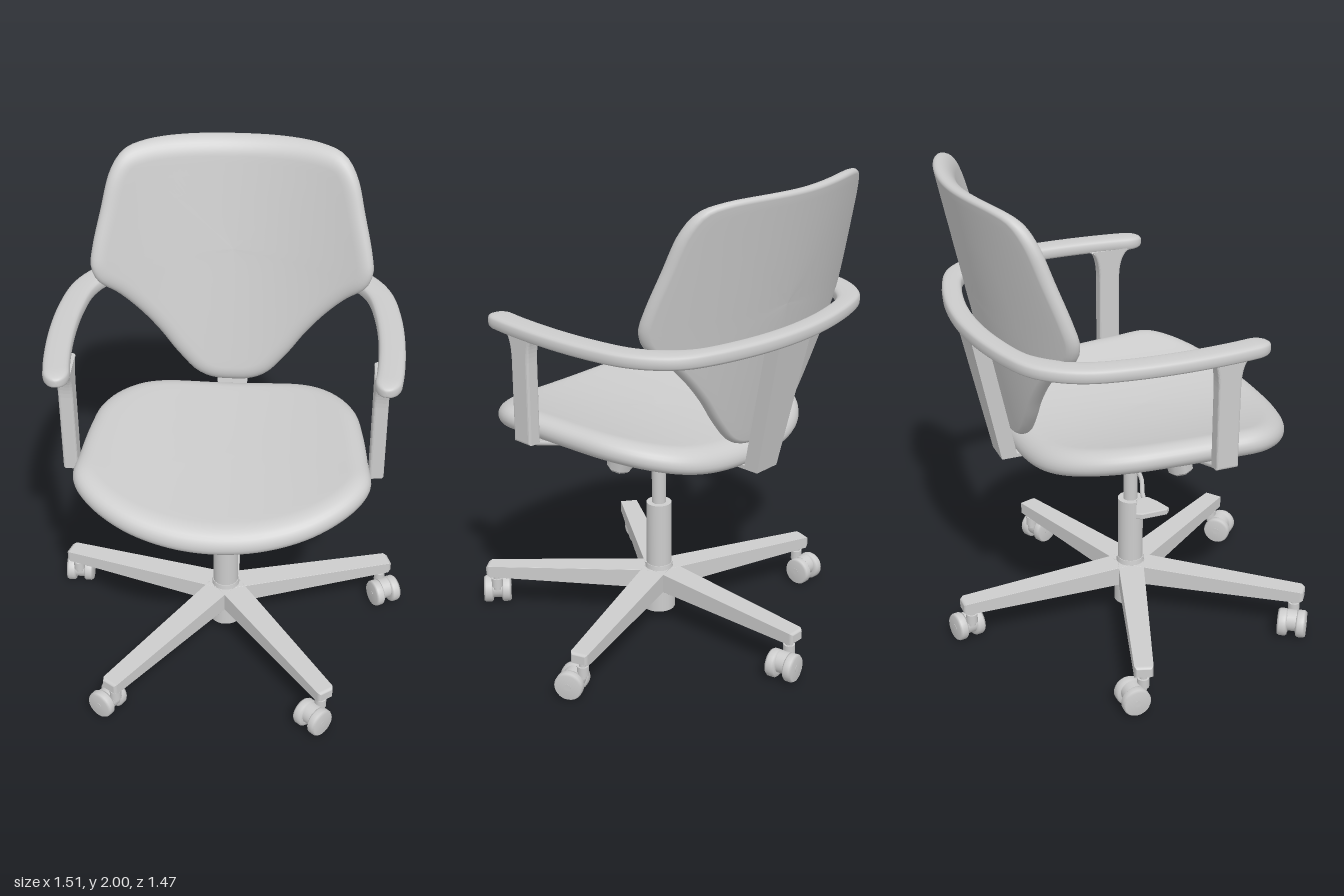
import * as THREE from 'three';
import { RoundedBoxGeometry } from 'three/addons/geometries/RoundedBoxGeometry.js';

const V2 = (x, y) => new THREE.Vector2(x, y);
const V3 = (x, y, z) => new THREE.Vector3(x, y, z);

export function createModel() {
  const grey = new THREE.MeshStandardMaterial({ color: 0xcccccc });
  grey.name = 'light grey';
  const chair = new THREE.Group();
  chair.name = 'officeChair';

  const add = (name, geo, x = 0, y = 0, z = 0, parent = chair) => {
    const m = new THREE.Mesh(geo, grey);
    m.name = name;
    m.position.set(x, y, z);
    parent.add(m);
    return m;
  };

  // Closed skin over a list of equal-length rings of points
  const skin = (rings) => {
    const n = rings[0].length, idx = [];
    for (let j = 0; j + 1 < rings.length; j++) {
      for (let i = 0; i < n; i++) {
        const k = (i + 1) % n, a = j * n + i, b = j * n + k, c = a + n, d = b + n;
        idx.push(a, b, d, a, d, c);
      }
    }
    const g = new THREE.BufferGeometry().setFromPoints(rings.flat());
    g.setIndex(idx);
    g.computeVertexNormals();
    return g;
  };

  // Cushion: half outline (mirrored), edge rounding, then bent by place(u, v, w)
  const cushion = (half, thick, rTop, rBottom, centre, place) => {
    const mirrored = half.slice(1, -1).reverse().map(([x, y]) => [-x, y]);
    const curve = new THREE.CatmullRomCurve3([...half, ...mirrored].map(([x, y]) => V3(x, y, 0)), true);
    const n = 120;
    const pts = curve.getSpacedPoints(n).slice(0, n);
    const inset = (d) => pts.map((p, i) => {
      const t = pts[(i + 1) % n].clone().sub(pts[(i + n - 1) % n]).normalize();
      return V2(p.x - t.y * d, p.y + t.x * d);
    });
    const rings = [];
    const put = (ring, s, w) => rings.push(ring.map((p) =>
      place(p.x * s, centre + (p.y - centre) * s, w)));
    const fill = [0, 0.2, 0.4, 0.6, 0.8, 0.93];
    const low = thick * 0.3;
    fill.forEach((s) => put(inset(rBottom), s, 0));
    for (let k = 0; k <= 4; k++) {
      const a = k / 4 * Math.PI / 2;
      put(inset(rBottom * (1 - Math.sin(a))), 1, low * (1 - Math.cos(a)));
    }
    for (let k = 1; k <= 8; k++) {
      const a = k / 8 * Math.PI / 2;
      put(inset(rTop * (1 - Math.cos(a))), 1, low + (thick - low) * Math.sin(a));
    }
    fill.reverse().forEach((s) => put(inset(rTop), s, thick));
    return skin(rings);
  };

  // Side profile in (z, y), extruded across x
  const sideExtrude = (shape, width, bevel = 0) => {
    const g = new THREE.ExtrudeGeometry(shape, {
      depth: width - 2 * bevel, bevelEnabled: bevel > 0, bevelSize: bevel,
      bevelThickness: bevel, bevelOffset: -bevel, bevelSegments: 3, curveSegments: 10,
    });
    g.translate(0, 0, -width / 2 + bevel);
    return g.rotateY(-Math.PI / 2);
  };
  const poly = (pts) => new THREE.Shape(pts.map(([a, b]) => V2(a, b)));
  const lathe = (pts, seg = 32) => new THREE.LatheGeometry(pts.map(([r, y]) => V2(r, y)), seg);

  // Seat, dished across its width
  add('seat', cushion(
    [[0, -0.637], [0.2, -0.617], [0.38, -0.555], [0.52, -0.45], [0.578, -0.35], [0.572, -0.2],
      [0.555, 0], [0.53, 0.15], [0.47, 0.28], [0.38, 0.38], [0.26, 0.437], [0, 0.46]],
    0.1, 0.09, 0.025, -0.1,
    (u, v, w) => V3(u, 0.868 + 0.3 * u * u + w, -v)));

  // Backrest, leaning back and wrapping forward at the sides
  add('backrest', cushion(
    [[0, 0.965], [0.08, 0.972], [0.15, 1.005], [0.235, 1.1], [0.305, 1.2], [0.385, 1.3], [0.47, 1.39],
      [0.55, 1.46], [0.577, 1.53], [0.57, 1.6], [0.535, 1.75], [0.495, 1.9], [0.445, 1.968],
      [0.36, 1.994], [0, 2]],
    0.075, 0.07, 0.018, 1.55,
    (u, v, w) => V3(u, v, -0.695 + 0.212 * (2 - v) + 0.53 * u * u + w)));

  // Arm hoop running round behind the backrest
  const side = [[0.615, 0.345], [0.635, 0.2], [0.645, 0], [0.635, -0.2], [0.605, -0.36], [0.55, -0.46],
    [0.46, -0.54], [0.25, -0.605]];
  const hoop = new THREE.CatmullRomCurve3([...side, [0, -0.63],
    ...side.slice().reverse().map(([x, z]) => [-x, z])].map(([x, z]) => V3(x, 1.437, z)));
  const hoopRings = [];
  const up = V3(0, 1, 0), N = 140;
  for (let j = 0; j <= N; j++) {
    const t = (1 - Math.cos(j / N * Math.PI)) / 2;
    const p = hoop.getPointAt(t), out = up.clone().cross(hoop.getTangentAt(t)).normalize();
    const end = Math.min(t, 1 - t);
    const tip = Math.sqrt(Math.max(0, 1 - (1 - Math.min(1, end / 0.025)) ** 2));
    const wide = (0.052 - 0.012 * THREE.MathUtils.smoothstep(end, 0.3, 0.36)) * tip;
    const high = 0.029 * Math.sqrt(tip);
    const ring = [];
    for (let i = 0; i < 20; i++) {
      const a = i / 20 * 2 * Math.PI, c = Math.cos(a), s = Math.sin(a);
      ring.push(p.clone()
        .addScaledVector(out, wide * Math.sign(c) * Math.abs(c) ** 0.6)
        .addScaledVector(up, high * Math.sign(s) * Math.abs(s) ** 0.6));
    }
    hoopRings.push(ring);
  }
  add('armHoop', skin(hoopRings));

  // Arm posts with flared tops, and straps under the seat
  const post = new THREE.Shape();
  post.moveTo(0.14, 0.96);
  post.lineTo(0.23, 0.96);
  post.lineTo(0.232, 1.3);
  post.quadraticCurveTo(0.235, 1.4, 0.285, 1.42);
  post.lineTo(0.1, 1.42);
  post.quadraticCurveTo(0.138, 1.4, 0.14, 1.3);
  for (const s of [1, -1]) {
    add('armPost', sideExtrude(post, 0.058, 0.01), s * 0.605);
    const strap = add('armStrap', new RoundedBoxGeometry(0.34, 0.018, 0.085, 2, 0.008), s * 0.47, 0.921, 0.185);
    strap.rotation.z = s * 0.31;
    for (const d of [0.34, 0.4]) {
      add('strapBolt', new THREE.CylinderGeometry(0.014, 0.014, 0.012, 12), s * d, 0.871 + (d - 0.34) * 0.31, 0.185);
    }
  }

  // Back support bar, wider at the top, turning under the seat
  const bar = sideExtrude(poly([[-0.2, 0.858], [-0.2, 0.872], [-0.46, 0.874], [-0.58, 1.42],
    [-0.642, 1.42], [-0.522, 0.858]]), 1);
  const bp = bar.attributes.position;
  for (let i = 0; i < bp.count; i++) bp.setX(i, bp.getX(i) * (0.12 + 0.12 * (bp.getY(i) - 0.86)));
  bar.computeVertexNormals();
  add('backSupport', bar);

  // Tilt mechanism
  add('tiltHousing', sideExtrude(poly([[0.27, 0.868], [-0.16, 0.868], [-0.16, 0.855], [-0.04, 0.81],
    [-0.01, 0.785], [0.18, 0.785], [0.24, 0.82]]), 0.16, 0.008));
  add('mountPlate', new THREE.BoxGeometry(0.24, 0.012, 0.4), 0, 0.866, 0.04);
  for (const z of [0.2, -0.1]) {
    add('mountArm', new RoundedBoxGeometry(0.43, 0.014, 0.07, 2, 0.006), 0, 0.865, z);
    for (const x of [-0.18, 0.18]) add('mountBolt', new THREE.CylinderGeometry(0.014, 0.014, 0.012, 12), x, 0.855, z);
  }
  add('pivotPin', new THREE.CylinderGeometry(0.012, 0.012, 0.23, 16).rotateZ(Math.PI / 2), 0, 0.81, 0.015);

  // Height lever with a flat paddle
  add('leverRod', new THREE.TubeGeometry(new THREE.CatmullRomCurve3([V3(-0.05, 0.805, -0.01),
    V3(-0.3, 0.805, -0.03), V3(-0.44, 0.81, -0.08), V3(-0.52, 0.81, -0.1)]), 24, 0.009, 10));
  const paddle = new THREE.ExtrudeGeometry(poly([[-0.49, 0.08], [-0.53, 0.06], [-0.59, 0.04], [-0.6, 0.05],
    [-0.6, 0.15], [-0.59, 0.165], [-0.53, 0.14], [-0.49, 0.12]].reverse()),
  { depth: 0.016, bevelEnabled: true, bevelSize: 0.004, bevelThickness: 0.004, bevelSegments: 2 });
  add('leverPaddle', paddle.rotateX(-Math.PI / 2), 0, 0.802, 0);

  // Tension knob with ribbed collar
  const knob = new THREE.Group();
  knob.name = 'tensionKnob';
  knob.position.set(0, 0.815, 0.238);
  knob.rotation.x = -0.22;
  chair.add(knob);
  const ribs = [[0, -0.085]];
  for (let i = 0; i <= 10; i++) ribs.push([i % 2 ? 0.064 : 0.052, -0.085 + i * 0.0085]);
  ribs.push([0, 0]);
  add('knobCollar', lathe(ribs), 0, 0, 0, knob);
  add('knobGrip', new THREE.CylinderGeometry(0.061, 0.056, 0.1, 8), 0, -0.135, 0, knob);
  add('knobEnd', new THREE.CylinderGeometry(0.056, 0.046, 0.012, 8), 0, -0.191, 0, knob);

  // Gas column
  const cz = 0.05;
  add('columnHub', new THREE.CylinderGeometry(0.068, 0.068, 0.15, 40), 0, 0.125, cz);
  add('columnSleeve', new THREE.CylinderGeometry(0.053, 0.053, 0.385, 40), 0, 0.347, cz);
  add('columnCollar', new THREE.CylinderGeometry(0.056, 0.066, 0.07, 40), 0, 0.225, cz);
  add('columnRod', new THREE.CylinderGeometry(0.03, 0.03, 0.26, 32), 0, 0.65, cz);
  add('columnCap', lathe([[0.03, 0.715], [0.036, 0.72], [0.04, 0.74], [0.058, 0.752], [0.06, 0.775],
    [0.05, 0.79], [0, 0.79]]), 0, 0, cz);

  // Star base: tapered legs and twin-wheel casters, each caster swivelled its own way
  const legGeo = new RoundedBoxGeometry(0.75, 1, 1, 3, 0.015);
  const lp = legGeo.attributes.position;
  for (let i = 0; i < lp.count; i++) {
    const r = lp.getX(i) + 0.375, t = r / 0.75;
    const top = 0.242 - 0.037 * t;
    lp.setXYZ(i, r, THREE.MathUtils.lerp(0.155, top, lp.getY(i) + 0.5), lp.getZ(i) * (0.11 - 0.035 * t));
  }
  // Restore the rounded tip corners flattened by the taper
  for (let i = 0; i < lp.count; i++) {
    const e = Math.max(0, (lp.getX(i) - 0.735) / 0.015);
    lp.setY(i, THREE.MathUtils.lerp(lp.getY(i), 0.18, e * 0.3));
    lp.setZ(i, lp.getZ(i) * (1 - e * 0.25));
  }
  const wheelGeo = lathe([[0, -0.022], [0.04, -0.022], [0.044, -0.019], [0.052, -0.019], [0.058, -0.012],
    [0.058, 0.012], [0.052, 0.021], [0, 0.021]], 28).rotateX(Math.PI / 2);
  const swivels = [[0.05, -0.01], [-0.036, 0.04], [-0.045, -0.03], [0, -0.055], [0.02, 0.04]];
  // Legs in turn: back, front left, front right, right, left
  const turns = [0, 144, 216, 288, 72];
  turns.forEach((deg, i) => {
    const a = deg * Math.PI / 180, dx = Math.sin(a), dz = -Math.cos(a);
    add('baseLeg', legGeo, 0, 0, cz).rotation.y = Math.atan2(-dz, dx);
    const caster = new THREE.Group();
    caster.name = 'caster';
    caster.position.set(dx * 0.71, 0, cz + dz * 0.71);
    caster.rotation.y = Math.atan2(-swivels[i][1], swivels[i][0]);
    chair.add(caster);
    add('casterStem', new THREE.CylinderGeometry(0.016, 0.016, 0.09, 16), 0, 0.125, 0, caster);
    add('casterCollar', new THREE.CylinderGeometry(0.024, 0.024, 0.04, 16), 0, 0.115, 0, caster);
    add('casterBody', new THREE.CylinderGeometry(0.046, 0.046, 0.04, 24).rotateX(Math.PI / 2), 0.04, 0.07, 0, caster);
    add('casterAxle', new THREE.CylinderGeometry(0.014, 0.014, 0.12, 16).rotateX(Math.PI / 2), 0.045, 0.062, 0, caster);
    for (const s of [1, -1]) {
      const wheel = add('casterWheel', wheelGeo, 0.045, 0.06, s * 0.038, caster);
      if (s < 0) wheel.rotation.y = Math.PI;
    }
  });

  chair.position.x = -0.012;
  const model = new THREE.Group();
  model.name = 'swivelChair';
  model.add(chair);
  return model;
}
